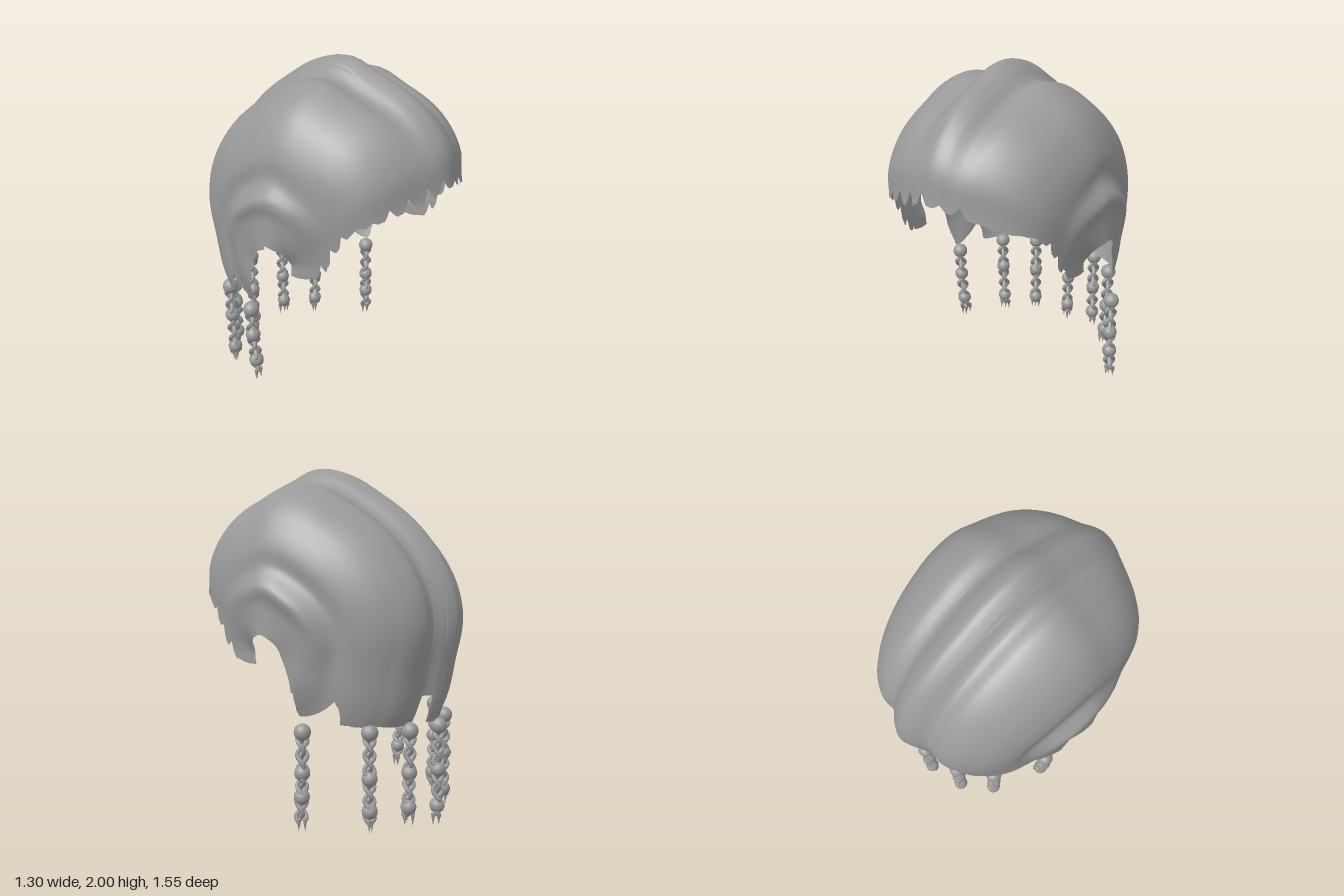
import * as THREE from 'three';

const gray = new THREE.MeshStandardMaterial({ color: 0x999999, side: THREE.DoubleSide });
gray.name = 'hair gray';

// Ear centre that the hair is swept around
const EAR_Y = 0.97, EAR_Z = 0.07;

// Sweep radius of the crown by angle (degrees, 0 = forward, 90 = up, 180 = back)
const CROWN = [[-30, 0.78], [5, 0.78], [31.6, 0.83], [43, 0.92], [57, 0.97], [76, 0.99], [87, 1.03], [100, 1.0],
  [113, 0.95], [134, 0.92], [151, 0.9], [165, 0.87], [185, 0.8], [207, 0.81], [245, 0.82]];
// Hem angles by distance from the ear
const FRONT_HEM = [[0.1, -24], [0.23, -7], [0.31, 5], [0.43, 25], [0.55, 32], [0.71, 31], [0.83, 31.5]];
const BACK_HEM = [[0.1, 160], [0.13, 185], [0.165, 205], [0.26, 230], [0.37, 239], [0.5, 223], [0.63, 214], [0.82, 207]];
// Across the head, ear to parting: x, radius ratio (ridged), radius ratio (smooth brow)
const ACROSS = [[0.64, 0.13, 0.13], [0.63, 0.27, 0.27], [0.618, 0.37, 0.37], [0.605, 0.44, 0.44], [0.588, 0.52, 0.52],
  [0.54, 0.66, 0.66], [0.46, 0.78, 0.77], [0.35, 0.865, 0.855], [0.25, 0.908, 0.91], [0.15, 0.908, 0.96], [0.07, 0.97, 0.99], [0, 1, 1]];

// Smooth interpolation through a table of [key, value]
function sample(table, k) {
  const n = table.length - 1;
  if (k <= table[0][0]) return table[0][1];
  if (k >= table[n][0]) return table[n][1];
  let i = 0;
  while (k > table[i + 1][0]) i++;
  const slope = (a, b) => (table[b][1] - table[a][1]) / (table[b][0] - table[a][0]);
  const h = table[i + 1][0] - table[i][0], t = (k - table[i][0]) / h;
  const m0 = slope(Math.max(i - 1, 0), i + 1) * h, m1 = slope(i, Math.min(i + 2, n)) * h;
  const t2 = t * t, t3 = t2 * t;
  return (2 * t3 - 3 * t2 + 1) * table[i][1] + (t3 - 2 * t2 + t) * m0 + (3 * t2 - 2 * t3) * table[i + 1][1] + (t3 - t2) * m1;
}

const { smoothstep, lerp, degToRad } = THREE.MathUtils;
const hash = (n) => { const s = Math.sin(n * 127.1 + 3.7) * 43758.5453; return s - Math.floor(s); };
const bell = (v, mid, w) => Math.exp(-(((v - mid) / w) ** 2));

// Point on the hair for one strand column and a sweep angle
function hairPoint(col, deg) {
  const brow = 1 - smoothstep(deg, 30, 80);
  const ratio = lerp(col.y, col.z, brow);
  const r = ratio * sample(CROWN, deg);
  // the head narrows to the brow and to the back
  const sideBand = smoothstep(ratio, 0.25, 0.5) * (1 - smoothstep(ratio, 0.78, 0.9));
  const width = 1 - 0.14 * (1 - smoothstep(deg, 5, 90))
    - (0.05 + 0.07 * sideBand) * smoothstep(deg, 95, 180);
  // swept lock over the ear with a shallow groove above it
  const lock = (0.035 * bell(ratio, 0.37, 0.06) - 0.022 * bell(ratio, 0.48, 0.06)) * bell(deg, 112, 50);
  const a = degToRad(deg);
  return [col.x * width + Math.sign(col.x) * lock, EAR_Y + r * Math.sin(a), EAR_Z + r * Math.cos(a)];
}

// Thin shell of swept-back hair with a ragged hem
function hairShell() {
  const half = ACROSS.map((p) => new THREE.Vector3(...p));
  const other = half.slice(0, -1).reverse().map((p) => new THREE.Vector3(-p.x, p.y, p.z));
  const cols = new THREE.CatmullRomCurve3([...half, ...other]).getSpacedPoints(240);
  const ROWS = 64, pos = [], idx = [];
  cols.forEach((col, i) => {
    const r = col.y * 0.83, ax = Math.abs(col.x);
    let from = sample(FRONT_HEM, r), to = sample(BACK_HEM, r);
    // pointed cuts along the brow, slight wear along the nape
    if (r > 0.24) {
      const tooth = Math.floor(i / 11), across = (i % 11) / 10;
      from += (4 * hash(tooth) * Math.max(0, 1 - Math.abs(across - 0.4) / 0.35) + hash(tooth + 9) - 0.8) / r;
      to -= hash(Math.floor(i / 7) + 50) * 0.8 / r;
    }
    // cuts between the locks
    if (r > 0.6 && ax > 0.085 && ax < 0.155) to -= 12;
    to -= 23 * Math.max(0, 1 - Math.abs(r - 0.44) / 0.085);
    for (let j = 0; j <= ROWS; j++) pos.push(...hairPoint(col, from + (to - from) * j / ROWS));
  });
  const W = ROWS + 1;
  for (let i = 0; i < cols.length - 1; i++) {
    for (let j = 0; j < ROWS; j++) {
      const a = i * W + j, b = a + W;
      idx.push(a, a + 1, b, b, a + 1, b + 1);
    }
  }
  const g = new THREE.BufferGeometry();
  g.setAttribute('position', new THREE.Float32BufferAttribute(pos, 3));
  g.setIndex(idx);
  g.computeVertexNormals();
  return g;
}

function addMesh(parent, geometry, name, x = 0, y = 0, z = 0) {
  const m = new THREE.Mesh(geometry, gray);
  m.name = name;
  m.position.set(x, y, z);
  parent.add(m);
  return m;
}

// Loose three-strand braid with beads and pointed ends
function braid({ x, z, beads, end, lean }) {
  const g = new THREE.Group();
  g.name = 'braid';
  g.position.set(x, 0, z);
  const top = beads[0], tail = end + 0.06;
  const drift = (y) => lean * ((top - y) / (top - end)) ** 2;
  for (let s = 0; s < 3; s++) {
    const pts = [];
    for (let k = 0; k <= 32; k++) {
      const y = top + (tail - top) * k / 32;
      const t = (top - y) * 2 * Math.PI / 0.25 + s * 2 * Math.PI / 3;
      pts.push(new THREE.Vector3(drift(y) + 0.024 * Math.sin(t), y, 0.02 * Math.sin(2 * t)));
    }
    addMesh(g, new THREE.TubeGeometry(new THREE.CatmullRomCurve3(pts), 48, 0.0125, 7), 'braidStrand');
    const p = pts[32];
    const tip = addMesh(g, new THREE.ConeGeometry(0.0125, 0.07, 7), 'braidTip', p.x, tail - 0.025 + s * 0.008, p.z);
    tip.rotation.x = Math.PI;
  }
  beads.forEach((y, i) => addMesh(g, new THREE.SphereGeometry(i ? 0.043 : 0.046, 16, 12), 'bead', drift(y), y, 0));
  return g;
}

const BRAIDS = [
  { x: -0.545, z: -0.15, beads: [0.61, 0.44, 0.26], end: 0.12, lean: 0.045 },
  { x: -0.41, z: -0.455, beads: [0.6, 0.4, 0.17], end: 0.05, lean: 0.02 },
  { x: -0.23, z: -0.6, beads: [0.585, 0.36, 0.14], end: 0.04, lean: 0 },
  { x: -0.005, z: -0.665, beads: [0.58, 0.33, 0.12], end: 0, lean: 0 },
  { x: 0.22, z: -0.6, beads: [0.59, 0.36, 0.17], end: 0.06, lean: 0.01 },
  { x: 0.4, z: -0.455, beads: [0.6, 0.35, 0.17], end: 0.05, lean: -0.01 },
  { x: 0.575, z: -0.15, beads: [0.6, 0.38, 0.25], end: 0.06, lean: 0.02 },
];

export function createModel() {
  const model = new THREE.Group();
  model.name = 'beadedHair';
  addMesh(model, hairShell(), 'hairShell');
  BRAIDS.forEach((b) => model.add(braid(b)));
  return model;
}
